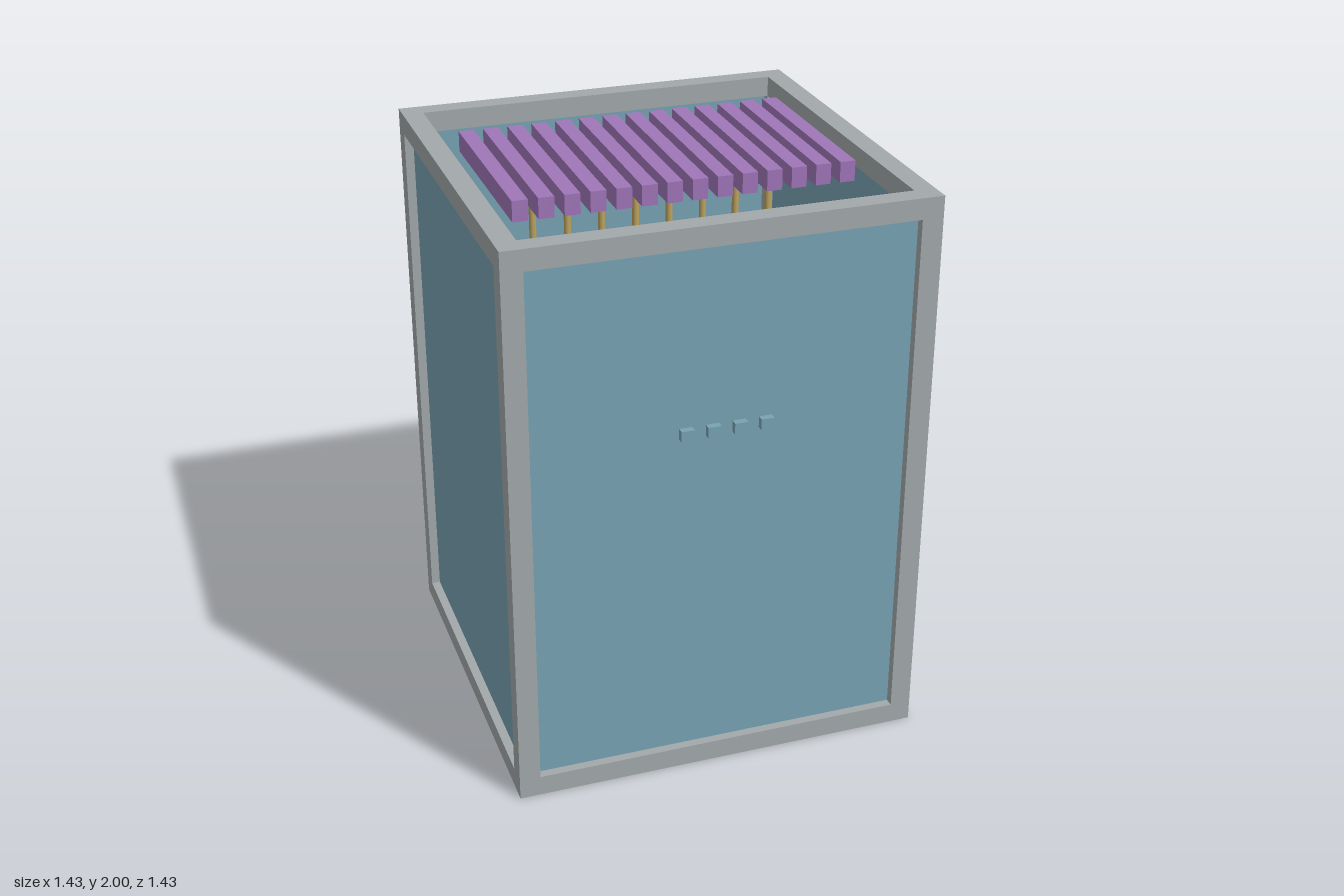
import * as THREE from 'three';

const material = (name, color) => {
  const m = new THREE.MeshStandardMaterial({ color });
  m.name = name;
  return m;
};

export function createModel() {
  const grey = material('frame grey', 0xa3a9ab);
  const blue = material('panel blue', 0x78a3b4);
  const purple = material('slat purple', 0x9f76b8);
  const dark = material('core slate', 0x4a5d67);
  const gold = material('rod gold', 0xbba25e);

  const model = new THREE.Group();
  model.name = 'cabinet';

  const add = (name, geometry, mat, x, y, z) => {
    const mesh = new THREE.Mesh(geometry, mat);
    mesh.name = name;
    mesh.position.set(x, y, z);
    model.add(mesh);
    return mesh;
  };
  const box = (name, mat, x0, x1, y0, y1, z0, z1) =>
    add(name, new THREE.BoxGeometry(x1 - x0, y1 - y0, z1 - z0), mat,
      (x0 + x1) / 2, (y0 + y1) / 2, (z0 + z1) / 2);

  // Overall frame extents and bar thickness
  const X = 0.717, H = 1.985, Z0 = -0.715, Z1 = 0.673, T = 0.072;
  const midZ = (Z0 + Z1) / 2;

  // Open frame: corner posts, then top and bottom rails
  for (const [x, side] of [[-X, 'right'], [X - T, 'left']]) {
    for (const [z, end] of [[Z0, 'Back'], [Z1 - T, 'Front']]) {
      box(side + end + 'Post', grey, x, x + T, T, H - T, z, z + T);
    }
  }
  for (const [y, level] of [[0, 'bottom'], [H - T, 'top']]) {
    for (const [z, end] of [[Z0, 'Back'], [Z1 - T, 'Front']]) {
      box(level + end + 'Rail', grey, -X, X, y, y + T, z, z + T);
    }
    for (const [x, side] of [[-X, 'Right'], [X - T, 'Left']]) {
      box(level + side + 'Rail', grey, x, x + T, y, y + T, Z0 + T, Z1 - T);
    }
  }

  // Thin panels set into the middle of the four walls
  const p = 0.005;
  for (const [z, end] of [[Z0 + T / 2, 'back'], [Z1 - T / 2, 'front']]) {
    box(end + 'Panel', blue, -X + T, X - T, T, H - T, z - p, z + p);
  }
  for (const [x, side] of [[-X + T / 2, 'right'], [X - T / 2, 'left']]) {
    box(side + 'Panel', blue, x - p, x + p, T, H - T, Z0 + T, Z1 - T);
  }

  // Row of slats across the open top
  for (let i = 0; i < 14; i++) {
    const x = -0.585 + i * 0.0845;
    box('slat', purple, x, x + 0.052, 1.93, 2, -0.367, 0.325);
  }

  // Rods hanging below the slats
  const rod = new THREE.CylinderGeometry(0.012, 0.012, 0.68, 12);
  for (let i = 0; i < 8; i++) {
    add('hangingRod', rod, gold, -0.429 + i * 0.119, 1.59, midZ);
  }

  // Inner block with small knobs on its sides
  box('coreBlock', dark, -0.274, 0.261, 0.7, 1.23, -0.28, 0.235);
  const knob = new THREE.SphereGeometry(0.013, 12, 8);
  for (const [x, z] of [[-0.098, -0.278], [-0.098, 0.234], [-0.272, -0.085], [-0.272, 0.044]]) {
    add('coreKnob', knob, dark, x, 0.97, z);
  }

  // Four buttons in front of the front panel
  for (let i = 0; i < 4; i++) {
    const x = -0.163 + i * 0.0895;
    box('button', blue, x, x + 0.044, 1.282, 1.32, 0.688, 0.712);
  }

  return model;
}
